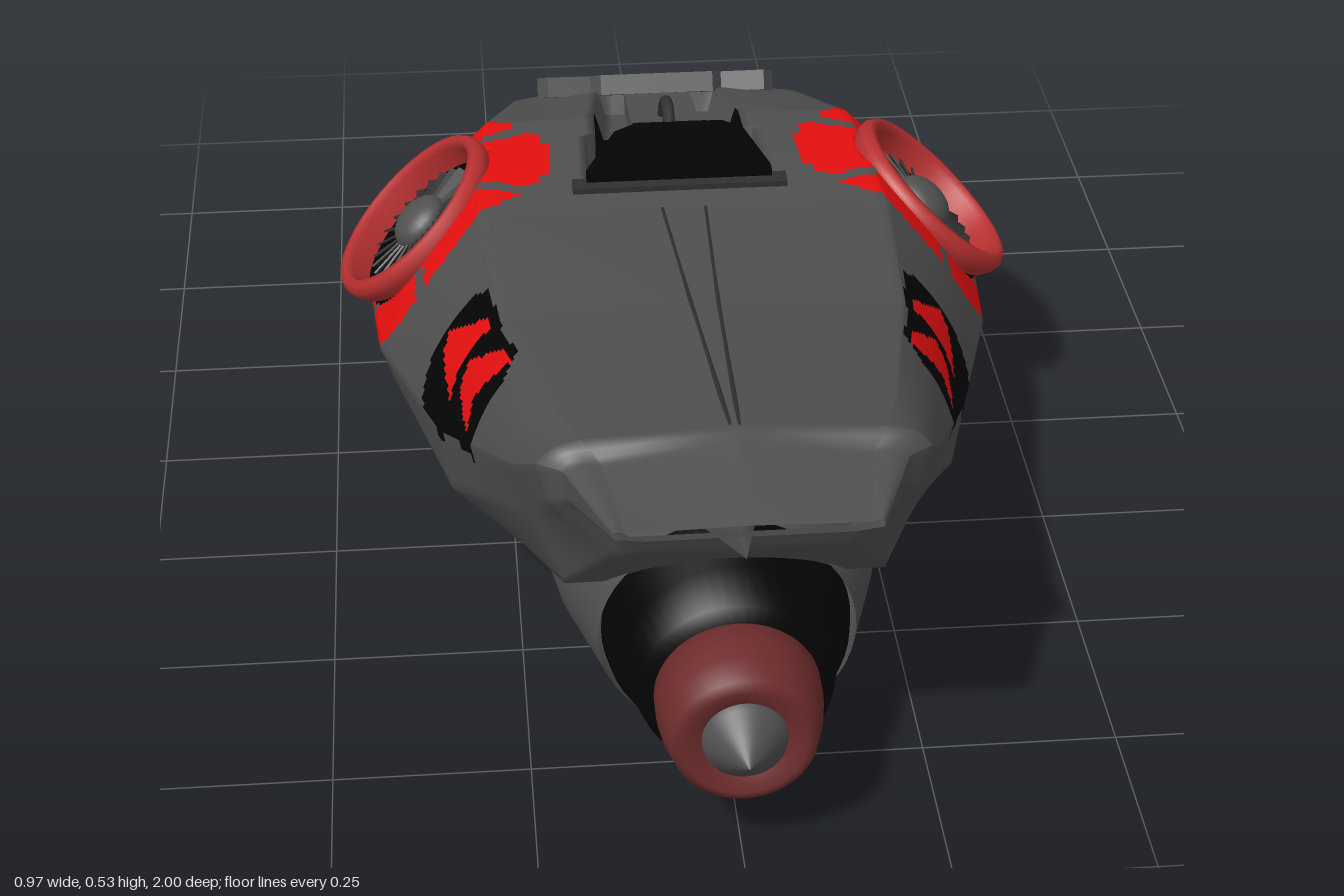
import * as THREE from 'three';

const flat = (name, color) =>
  Object.assign(new THREE.MeshStandardMaterial({ color, side: THREE.DoubleSide }), { name });

// Hull stations: z, topY, shoulder xy, edge xy, lower edge xy, keel xy, bottomY
const STATIONS = [
  [-1, .10, .002, .10, .004, .09, .004, .06, .003, .05, .05],
  [-.95, .13, .012, .125, .03, .09, .03, .05, .02, .02, .02],
  [-.8, .20, .075, .19, .12, .11, .12, .06, .08, .025, .022],
  [-.6, .30, .175, .27, .235, .15, .235, .1, .15, .035, .026],
  [-.42, .385, .215, .355, .325, .19, .32, .13, .2, .045, .03],
  [-.2, .44, .265, .43, .405, .23, .39, .17, .24, .055, .035],
  [-.05, .442, .275, .44, .44, .237, .413, .18, .25, .062, .045],
  [.1, .445, .28, .445, .428, .24, .406, .178, .25, .065, .055],
  [.4, .475, .26, .458, .348, .29, .335, .2, .24, .1, .09],
  [.7, .517, .205, .505, .263, .43, .24, .36, .2, .25, .25],
  [.8, .534, .18, .525, .235, .495, .22, .44, .14, .36, .36],
  [.82, .53, .16, .507, .205, .497, .2, .455, .13, .40, .40],
  [.96, .505, .14, .502, .155, .50, .155, .495, .12, .49, .49],
];
const STEPS = [20, 30, 6, 10, 6];
const FAN = new THREE.Vector3(.375, .355, -.07), TILT = .76;

function lerpRows(rows, z) {
  let i = 0;
  while (i < rows.length - 2 && z > rows[i + 1][0]) i++;
  const t = (z - rows[i][0]) / (rows[i + 1][0] - rows[i][0]);
  return rows[i].map((v, k) => v + (rows[i + 1][k] - v) * t);
}

const inCockpit = (x, z) => z > -.39 && z < .03 && Math.abs(x) < .08 + (z + .39) * .11;

// Position relative to the fan axis: across, along, radius and z offset
function fanSpace(x, y, z) {
  const dx = Math.abs(x) - FAN.x, dy = y - FAN.y, dz = z - FAN.z;
  const u = dx * Math.cos(TILT) - dy * Math.sin(TILT);
  return { u, dz, r: Math.hypot(u, dz), axial: dx * Math.sin(TILT) + dy * Math.cos(TILT) };
}

// One closed hull ring at z, clockwise seen from +z
function hullRing(z) {
  const [, yt, sx, sy, ex, ey, lx, ly, bx, by, yb] = lerpRows(STATIONS, z);
  const pts = [[0, yt], [sx, sy], [ex, ey], [lx, ly], [bx, by], [0, yb]];
  const half = [];
  STEPS.forEach((n, s) => {
    for (let k = 0; k < n; k++) {
      const t = k / n, bow = s === 1 ? Math.sin(Math.PI * t) * .025 * ex : 0;
      let x = pts[s][0] + (pts[s + 1][0] - pts[s][0]) * t + bow;
      let y = pts[s][1] + (pts[s + 1][1] - pts[s][1]) * t + bow;
      if (s === 0 && inCockpit(x, z)) y = z < -.22 ? yt - .05 : .28;
      const { r, axial } = fanSpace(x, y, z);
      if (r < .128 && axial > -.04) { // fan recess
        x -= (axial + .04) * Math.sin(TILT);
        y -= (axial + .04) * Math.cos(TILT);
      }
      half.push(new THREE.Vector3(x, y, z));
    }
  });
  const mirror = half.slice(1).reverse().map(p => new THREE.Vector3(-p.x, p.y, z));
  return [...half, new THREE.Vector3(0, yb, z), ...mirror];
}

// Skin over rings ordered along +z, each quad coloured by a rule
function loft(rings, paint = () => 0) {
  const n = rings[0].length, sets = [[], [], []];
  for (let i = 0; i < rings.length - 1; i++) for (let j = 0; j < n; j++) {
    const k = (j + 1) % n, a = i * n + j, b = a + n, c = i * n + k, d = c + n;
    const mid = rings[i][j].clone().add(rings[i + 1][k]).multiplyScalar(.5);
    sets[paint(mid)].push(a, b, c, c, b, d);
  }
  const g = new THREE.BufferGeometry().setFromPoints(rings.flat());
  g.setIndex(sets.flat());
  let start = 0;
  sets.forEach((s, m) => { g.addGroup(start, s.length, m); start += s.length; });
  g.computeVertexNormals();
  return g;
}

// Side markings as (z, y) outlines
const PATCHES = [
  [[.54, .33], [.54, .44], [.5, .47], [.44, .455], [.3, .445], [.28, .42], [.28, .33], [.31, .28], [.4, .28], [.46, .32]],
  [[-.57, .22], [-.57, .13], [-.61, .1], [-.78, .06], [-.79, .16], [-.72, .2], [-.7, .245], [-.63, .25]],
];
const ARROWS = [
  [[.51, .46], [.47, .455], [.4, .395], [.42, .365], [.51, .35], [.48, .39]],
  [[.39, .44], [.36, .435], [.29, .375], [.31, .355], [.40, .335], [.38, .38]],
  [[-.59, .25], [-.62, .25], [-.69, .19], [-.69, .165], [-.6, .15], [-.615, .2]],
  [[-.7, .225], [-.73, .22], [-.79, .175], [-.78, .145], [-.71, .135], [-.715, .18]],
];
function inside(poly, z, y) {
  let hit = false;
  poly.forEach(([z1, y1], i) => {
    const [z2, y2] = poly[(i + 1) % poly.length];
    if ((y1 > y) !== (y2 > y) && z < (z2 - z1) * (y - y1) / (y2 - y1) + z1) hit = !hit;
  });
  return hit;
}

// 0 grey, 1 black, 2 red
function hullPaint(p) {
  const x = Math.abs(p.x);
  if (inCockpit(x, p.z) && p.y > .25) return p.z > -.22 ? 1 : 0;
  if (x > .05 && ARROWS.some(a => inside(a, p.z, p.y))) return 2;
  if (x > .05 && PATCHES.some(a => inside(a, p.z, p.y))) return 1;
  const { u, dz, r } = fanSpace(p.x, p.y, p.z);
  if (r < .128 && p.y > .2) return 1;
  if (r < .203 && p.y > .175 && x > .16) {
    const a = ((Math.atan2(dz, u) / (Math.PI / 3)) + 6.5) % 1;
    return a < .06 || a > .94 ? 0 : 2;
  }
  return 0;
}

export function createModel() {
  const root = new THREE.Group();
  const grey = flat('hull grey', 0x505050);
  const black = flat('black', 0x040404);
  const red = flat('bright red', 0xff1212);
  const ringRed = flat('ring red', 0xb83030);
  const maroon = flat('engine maroon', 0x6e2c2c);
  const dark = flat('dark grey', 0x303030);
  const add = (name, geo, mat, parent = root) => {
    const m = new THREE.Mesh(geo, mat);
    m.name = name;
    parent.add(m);
    return m;
  };

  // Hull
  const rings = [];
  for (let i = 0; i <= 245; i++) rings.push(hullRing(-1 + i * .008));
  add('hull', loft(rings, hullPaint), [grey, black, red]);

  // Engine nacelle: z, centre y, half width, half height
  const nacelle = [[0, .1, .14, .03], [.2, .12, .2, .088], [.4, .145, .228, .145], [.58, .175, .205, .16], [.73, .185, .162, .152]];
  const oval = z => {
    const [, cy, rx, ry] = lerpRows(nacelle, z);
    return Array.from({ length: 48 }, (_, k) => {
      const a = k / 48 * Math.PI * 2;
      return new THREE.Vector3(Math.sin(a) * rx, cy + Math.cos(a) * ry, z);
    });
  };
  add('nacelle', loft(Array.from({ length: 31 }, (_, i) => oval(i / 30 * .73))), grey);

  // Engine: turned parts along z
  const turned = (name, pts, mat) => {
    const m = add(name, new THREE.LatheGeometry(pts.map(p => new THREE.Vector2(...p)), 48), mat);
    m.rotation.x = Math.PI / 2;
    m.position.y = .185;
  };
  turned('engineCollar', [[.157, .71], [.152, .74], [.135, .78], [.12, .84], [.09, .845]], black);
  turned('engineNozzle', [[.09, .835], [.102, .85], [.102, .88], [.098, .91], [.088, .945], [.075, .952], [.05, .94]], maroon);
  turned('engineCone', [[.055, .93], [.05, .95], [.025, .975], [0, 1]], grey);

  // Tail spike under the deck
  const spike = add('tailSpike', new THREE.ConeGeometry(.045, .3, 4), grey);
  spike.rotation.x = Math.PI / 2 - .42;
  spike.position.set(0, .378, .795);

  for (const s of [1, -1]) {
    // Deck seams
    const seam = new THREE.CatmullRomCurve3([[.03, .442, .1], [.018, .472, .4], [.005, .530, .8]]
      .map(([x, y, z]) => new THREE.Vector3(s * x, y, z)));
    add('deckSeam', new THREE.TubeGeometry(seam, 24, .004, 6), dark);

    // Lift fan
    const fan = new THREE.Group();
    fan.name = 'liftFan';
    fan.position.set(s * FAN.x, FAN.y, FAN.z);
    fan.rotation.z = -s * TILT;
    root.add(fan);
    const rim = [[.120, -.035], [.120, .004], [.126, .014], [.136, .013], [.143, .003], [.142, -.01], [.134, -.026]];
    add('fanRing', new THREE.LatheGeometry(rim.map(p => new THREE.Vector2(...p)), 48), ringRed, fan);
    add('fanWell', new THREE.CylinderGeometry(.13, .13, .006, 48), black, fan).position.y = -.032;
    const hub = add('fanHub', new THREE.SphereGeometry(.044, 24, 16), grey, fan);
    hub.scale.y = .6;
    hub.position.y = -.014;
    for (let k = 0; k < 24; k++) {
      const arm = new THREE.Group();
      arm.name = 'fanBlade';
      arm.rotation.y = k / 24 * Math.PI * 2;
      fan.add(arm);
      const blade = add('blade', new THREE.BoxGeometry(.06, .003, .013), dark, arm);
      blade.position.set(.068, -.018, 0);
      blade.rotation.x = .6;
    }

    // Cockpit hood wing, rising towards the cockpit
    const wing = new THREE.Shape([[0, .42], [.09, .45], [.15, .43], [.18, .395], [.165, .375], [.1, .385], [.085, .36], [0, .36]]
      .map(([x, y]) => new THREE.Vector2(s * x, y)));
    const hood = add('cockpitHood', new THREE.ExtrudeGeometry(wing, { depth: .03, bevelEnabled: false }), grey);
    hood.geometry.rotateX(-Math.PI / 2).translate(0, 0, .4);
    hood.position.set(0, .368, -.4);
    hood.rotation.x = -.5;

    // Control grips
    const grip = add('controlGrip', new THREE.CylinderGeometry(.008, .008, .05, 10), black);
    grip.rotation.z = Math.PI / 2;
    grip.position.set(s * .028, .445, -.14);
  }

  // Console and control column
  const consoleBox = add('console', new THREE.BoxGeometry(.1, .03, .15), grey);
  consoleBox.position.set(0, .385, -.295);
  consoleBox.rotation.x = -.2;
  const column = new THREE.CatmullRomCurve3([[0, .39, -.26], [0, .445, -.22], [0, .46, -.18], [0, .445, -.14]]
    .map(p => new THREE.Vector3(...p)));
  add('controlColumn', new THREE.TubeGeometry(column, 20, .009, 8), dark);

  // Seat
  add('seatCushion', new THREE.BoxGeometry(.17, .05, .15), black).position.set(0, .305, -.07);
  const back = new THREE.Shape([[-.09, .28], [.09, .28], [.13, .42], [.13, .46], [.09, .52], [.06, .532], [-.06, .532], [-.09, .52], [-.13, .46], [-.13, .42]]
    .map(p => new THREE.Vector2(...p)));
  add('seatBack', new THREE.ExtrudeGeometry(back, { depth: .02, bevelEnabled: false }), black).position.z = .012;
  add('seatBar', new THREE.BoxGeometry(.3, .02, .03), dark).position.set(0, .442, .035);
  return root;
}
